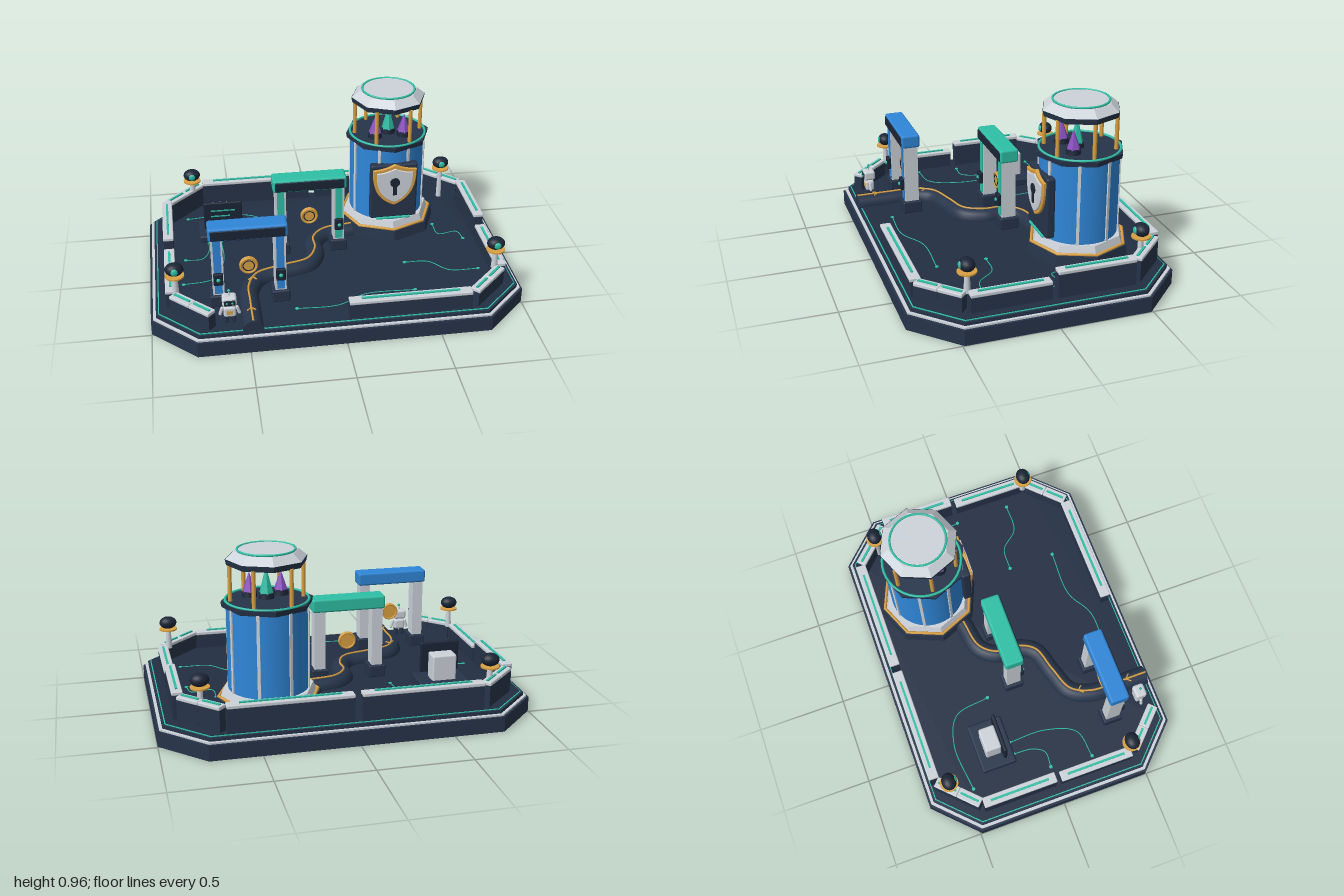
import * as THREE from 'three';
import { RoundedBoxGeometry } from 'three/addons/geometries/RoundedBoxGeometry.js';

const mat = (color, extra = {}) => new THREE.MeshStandardMaterial({ color, ...extra });
const M = {
  dark: mat(0x26344a), floor: mat(0x222f43), black: mat(0x1b2536), white: mat(0xcdd3da), blue: mat(0x2f86d8),
  teal: mat(0x2ebfa5), gold: mat(0xd9a042), purple: mat(0x8a4fc0),
};
const flat = (m) => mat(m.color, { flatShading: true });
const FLOOR = 0.117;

function add(parent, name, geo, material, x = 0, y = 0, z = 0) {
  const m = new THREE.Mesh(geo, material);
  m.name = name;
  m.position.set(x, y, z);
  parent.add(m);
  return m;
}
function group(parent, name, x = 0, y = 0, z = 0) {
  const g = new THREE.Group();
  g.name = name;
  g.position.set(x, y, z);
  parent.add(g);
  return g;
}
const box = (w, h, d) => new THREE.BoxGeometry(w, h, d);
const rbox = (w, h, d, r = 0.01) => new RoundedBoxGeometry(w, h, d, 2, r);
const cyl = (rt, rb, h, n = 24) => new THREE.CylinderGeometry(rt, rb, h, n);

// Chamfered rectangle slab, inset by d, from y to y + h
function slab(parent, name, d, y, h, material) {
  const w = 1 - d, l = 0.72 - d, s = 1.49 - d * 1.414, a = s - w, b = s - l;
  const shape = new THREE.Shape([[w, -a], [w, a], [b, l], [-b, l], [-w, a], [-w, -a], [-b, -l], [b, -l]]
    .map(([x, z]) => new THREE.Vector2(x, z)));
  const geo = new THREE.ExtrudeGeometry(shape, { depth: h, bevelEnabled: false });
  geo.rotateX(-Math.PI / 2);
  add(parent, name, geo, material, 0, y, 0);
}

// Wall block with pale cap and a glowing strip; angle turns it about y
function wall(parent, x, z, len, top, angle = 0) {
  const g = group(parent, 'wallSegment', x, 0, z);
  g.rotation.y = angle;
  const h = top - 0.02 - 0.11;
  add(g, 'wallBody', box(len, h, 0.05), M.dark, 0, 0.11 + h / 2, 0);
  add(g, 'wallCap', rbox(len, 0.02, 0.058, 0.005), M.white, 0, top - 0.01, 0);
  add(g, 'capLight', box(len * 0.8, 0.008, 0.012), M.teal, 0, top + 0.003, 0);
}

function lamp(parent, x, z, base) {
  const g = group(parent, 'lamp', x, 0, z);
  add(g, 'lampStem', cyl(0.014, 0.018, 0.31 - base, 12), M.white, 0, (0.31 + base) / 2, 0);
  add(g, 'lampDisc', cyl(0.05, 0.05, 0.008), M.gold, 0, 0.315, 0);
  const bulb = add(g, 'lampHead', new THREE.SphereGeometry(0.045, 20, 14), M.black, 0, 0.353, 0);
  bulb.scale.set(1.08, 0.78, 0.9);
  const eye = add(g, 'lampEye', new THREE.SphereGeometry(0.02, 14, 10), M.teal, 0, 0.353, 0.034);
  eye.scale.z = 0.5;
}

function gate(parent, x, z, color) {
  const g = group(parent, 'gate', x, 0, z);
  add(g, 'gateBeam', rbox(0.41, 0.075, 0.105, 0.012), color, 0, 0.552, 0);
  add(g, 'beamPanel', rbox(0.385, 0.055, 0.014, 0.005), M.black, 0, 0.55, 0.05);
  for (const s of [-1, 1]) {
    add(g, 'gateLeg', box(0.06, 0.36, 0.08), M.white, s * 0.163, 0.34, 0);
    add(g, 'legStripe', box(0.04, 0.32, 0.01), color, s * 0.163, 0.355, 0.04);
    add(g, 'gateFoot', rbox(0.095, 0.07, 0.11, 0.008), M.dark, s * 0.163, 0.15, 0);
    add(g, 'sensorBox', rbox(0.05, 0.07, 0.022, 0.006), M.black, s * 0.163, 0.29, 0.052);
    add(g, 'sensorLight', new THREE.SphereGeometry(0.011, 12, 8), M.teal, s * 0.163, 0.29, 0.063);
  }
  // Floating token in the opening
  const t = group(g, 'token', 0, 0.33, 0);
  add(t, 'tokenDisc', cyl(0.046, 0.046, 0.016, 28).rotateX(Math.PI / 2), M.gold);
  for (const s of [-1, 1]) add(t, 'tokenRim', new THREE.TorusGeometry(0.043, 0.006, 8, 28), M.gold, 0, 0, s * 0.007);
  add(t, 'tokenRing', new THREE.TorusGeometry(0.03, 0.003, 6, 24), M.black, 0, 0, 0.009);
}

function shieldShape(k) {
  const s = new THREE.Shape();
  s.moveTo(0, 0.125 * k);
  s.quadraticCurveTo(0.06 * k, 0.095 * k, 0.122 * k, 0.095 * k);
  s.bezierCurveTo(0.122 * k, -0.01 * k, 0.1 * k, -0.085 * k, 0, -0.125 * k);
  s.bezierCurveTo(-0.1 * k, -0.085 * k, -0.122 * k, -0.01 * k, -0.122 * k, 0.095 * k);
  s.quadraticCurveTo(-0.06 * k, 0.095 * k, 0, 0.125 * k);
  return s;
}

function vault(parent) {
  const g = group(parent, 'vault', 0.4, 0, -0.33);
  const ring = (name, r, t, y, m, n) =>
    add(g, name, new THREE.TorusGeometry(r, t, 8, n).rotateX(Math.PI / 2).rotateY(Math.PI / 2), m, 0, y, 0);
  const oct = (name, rt, rb, y0, y1, m) => add(g, name, cyl(rt, rb, y1 - y0, 8), flat(m), 0, (y0 + y1) / 2, 0);
  oct('plinth', 0.28, 0.29, 0.11, 0.175, M.dark);
  ring('plinthTrim', 0.264, 0.009, 0.178, M.gold, 8);
  oct('plinthStep', 0.24, 0.255, 0.175, 0.22, M.white);
  add(g, 'drum', cyl(0.212, 0.212, 0.46, 48), M.blue, 0, 0.44, 0);
  for (let i = 0; i < 8; i++) {
    const a = (i + 0.5) * Math.PI / 4;
    const rib = add(g, 'drumRib', box(0.016, 0.45, 0.016), M.white, Math.sin(a) * 0.211, 0.44, Math.cos(a) * 0.211);
    rib.rotation.y = a;
  }
  oct('drumCollar', 0.24, 0.235, 0.662, 0.69, M.dark);
  ring('collarLight', 0.215, 0.007, 0.692, M.teal, 40);
  // Open lantern with six columns and roof
  for (let i = 0; i < 6; i++) {
    const a = (i + 0.5) * Math.PI / 3;
    add(g, 'column', cyl(0.011, 0.011, 0.2, 12), M.gold, Math.sin(a) * 0.19, 0.785, Math.cos(a) * 0.19);
  }
  oct('roofEave', 0.212, 0.205, 0.88, 0.91, M.dark);
  oct('roof', 0.165, 0.21, 0.91, 0.948, M.white);
  add(g, 'roofDisc', cyl(0.14, 0.15, 0.008, 40), M.white, 0, 0.95, 0);
  ring('roofLight', 0.148, 0.006, 0.953, M.teal, 40);
  // Crystals on small bases
  for (const [x, z, top, m] of [[-0.085, 0.07, 0.82, M.purple], [0, 0.02, 0.86, M.teal], [0.08, 0.07, 0.82, M.purple]]) {
    add(g, 'crystalBase', cyl(0.036, 0.042, 0.03, 12), M.black, x, 0.703, z);
    add(g, 'crystal', new THREE.ConeGeometry(0.038, top - 0.715, 6), flat(m), x, (top + 0.715) / 2, z);
  }
  // Door with shield and keyhole
  add(g, 'door', rbox(0.27, 0.34, 0.05, 0.012), M.dark, 0, 0.415, 0.208);
  add(g, 'doorSill', rbox(0.2, 0.012, 0.02, 0.004), M.teal, 0, 0.245, 0.232);
  const sh = group(g, 'shield', 0, 0.462, 0.23);
  const plate = (name, shape, depth, z, m) => add(sh, name, new THREE.ExtrudeGeometry(shape,
    { depth, bevelEnabled: true, bevelSize: 0.003, bevelThickness: 0.003, bevelSegments: 1 }), m, 0, 0, z);
  plate('shieldRim', shieldShape(1), 0.014, 0, M.gold);
  plate('shieldFace', shieldShape(0.83), 0.01, 0.012, M.white);
  add(sh, 'keyhole', cyl(0.028, 0.028, 0.008).rotateX(Math.PI / 2), M.black, 0, 0.022, 0.027);
  add(sh, 'keySlot', box(0.022, 0.07, 0.008), M.black, 0, -0.022, 0.027);
}

function road(parent) {
  const g = group(parent, 'road');
  const pts = [[-0.48, 0.69], [-0.48, 0.5], [-0.475, 0.36], [-0.42, 0.25], [-0.28, 0.195], [-0.13, 0.145],
    [-0.075, 0.04], [-0.07, -0.07], [0, -0.155], [0.17, -0.19]];
  const curve = (y) => new THREE.CatmullRomCurve3(pts.map(([x, z]) => new THREE.Vector3(x, y, z)));
  add(g, 'roadBed', new THREE.TubeGeometry(curve(0), 90, 0.054, 16), M.dark, 0, FLOOR, 0);
  add(g, 'roadEnd', new THREE.CircleGeometry(0.054, 24), M.dark, -0.48, FLOOR, 0.69);
  add(g, 'roadLine', new THREE.TubeGeometry(curve(0), 90, 0.006, 6), M.gold, 0, 0.172, 0);
  for (const z of [0.58, 0.3]) for (const s of [-1, 1]) {
    const c = add(g, 'roadArrow', box(0.006, 0.006, 0.035), M.gold, (z > 0.5 ? -0.48 : -0.45) + s * 0.011, 0.172, z);
    c.rotation.y = s * 0.7;
  }
}

function terminal(parent) {
  const g = group(parent, 'terminal', -0.57, 0, -0.28);
  add(g, 'terminalPad', rbox(0.28, 0.05, 0.2, 0.012), M.dark, 0, 0.135, 0);
  add(g, 'terminalBody', rbox(0.135, 0.15, 0.09, 0.01), M.white, 0, 0.225, -0.01);
  add(g, 'screen', rbox(0.22, 0.17, 0.02, 0.008), M.black, 0, 0.265, 0.045);
  for (let i = 0; i < 3; i++) add(g, 'screenLine', box(0.14 - i * 0.03, 0.007, 0.004), M.teal, -0.015 * i, 0.3 - i * 0.035, 0.056);
}

function robot(parent) {
  const g = group(parent, 'robot', -0.593, 0, 0.595);
  add(g, 'robotBody', rbox(0.065, 0.06, 0.05, 0.012), M.white, 0, 0.187, 0);
  add(g, 'chestPlate', box(0.03, 0.02, 0.006), M.gold, 0, 0.187, 0.025);
  add(g, 'robotHead', rbox(0.075, 0.055, 0.065, 0.014), M.white, 0, 0.25, 0);
  add(g, 'visor', rbox(0.058, 0.03, 0.01, 0.004), M.black, 0, 0.25, 0.031);
  add(g, 'antenna', cyl(0.003, 0.003, 0.03, 8), M.white, 0, 0.29, 0);
  add(g, 'antennaTip', new THREE.SphereGeometry(0.008, 10, 8), M.teal, 0, 0.307, 0);
  for (const s of [-1, 1]) {
    add(g, 'robotEye', new THREE.SphereGeometry(0.006, 8, 6), M.teal, s * 0.014, 0.25, 0.036);
    const arm = add(g, 'robotArm', new THREE.CapsuleGeometry(0.009, 0.035, 4, 8), M.white, s * 0.044, 0.185, 0);
    arm.rotation.z = s * 0.3;
    add(g, 'robotLeg', rbox(0.022, 0.045, 0.035, 0.005), M.dark, s * 0.018, 0.14, 0);
  }
}

export function createModel() {
  const root = new THREE.Group();
  root.name = 'vaultCourtyard';

  // Stepped base
  slab(root, 'base', 0, 0, 0.083, M.dark);
  slab(root, 'baseLip', 0.012, 0.083, 0.009, M.white);
  slab(root, 'baseStep', 0.028, 0.092, 0.018, M.dark);
  slab(root, 'edgeLight', 0.04, 0.11, 0.004, M.teal);
  slab(root, 'floor', 0.046, 0.11, 0.007, M.floor);

  // Perimeter walls: tall at the back, low in front, open at front left
  const LOW = 0.218, HIGH = 0.265;
  wall(root, 0.345, 0.64, 0.65, LOW);
  for (const s of [-1, 1]) {
    wall(root, s * 0.345, -0.65, 0.65, HIGH);
    wall(root, s * 0.887, 0.22, 0.42, LOW, Math.PI / 2);
    wall(root, s * 0.887, -0.23, 0.42, HIGH, Math.PI / 2);
    for (const f of [-1, 1]) for (const t of [0.27, 0.75]) {
      wall(root, s * (0.68 + 0.2 * t), f * (0.65 - 0.2 * t), 0.135, f > 0 ? LOW : HIGH - 0.01, s * f * Math.PI / 4);
    }
  }
  for (const [x, z, b] of [[-0.86, 0.43, 0.2], [0.85, 0.43, 0.2], [-0.73, -0.58, 0.24], [0.78, -0.52, 0.12]]) lamp(root, x, z, b);

  // Circuit traces on the floor
  const traces = [
    [[-0.77, -0.46], [-0.5, -0.48], [-0.34, -0.41], [-0.3, -0.21]],
    [[-0.8, -0.01], [-0.71, -0.01], [-0.67, -0.07], [-0.66, -0.18]],
    [[-0.82, 0.23], [-0.66, 0.2], [-0.59, 0.03], [-0.59, -0.18]],
    [[0.41, 0.19], [0.54, 0.2], [0.64, 0.3], [0.8, 0.31]],
    [[-0.24, 0.54], [-0.02, 0.54], [0.14, 0.46], [0.41, 0.46]],
    [[0.66, -0.19], [0.67, -0.08], [0.78, -0.09], [0.8, -0.01]],
  ];
  for (const t of traces) {
    const p = t.map(([x, z]) => new THREE.Vector3(x, FLOOR + 0.001, z));
    add(root, 'circuitTrace', new THREE.TubeGeometry(new THREE.CatmullRomCurve3(p), 32, 0.003, 5), M.teal);
    for (const e of [p[0], p[3]]) add(root, 'circuitNode', cyl(0.01, 0.01, 0.006, 12), M.teal, e.x, e.y, e.z);
  }

  road(root);
  gate(root, -0.475, 0.41, M.blue);
  gate(root, -0.095, -0.045, M.teal);
  vault(root);
  terminal(root);
  robot(root);
  return root;
}
